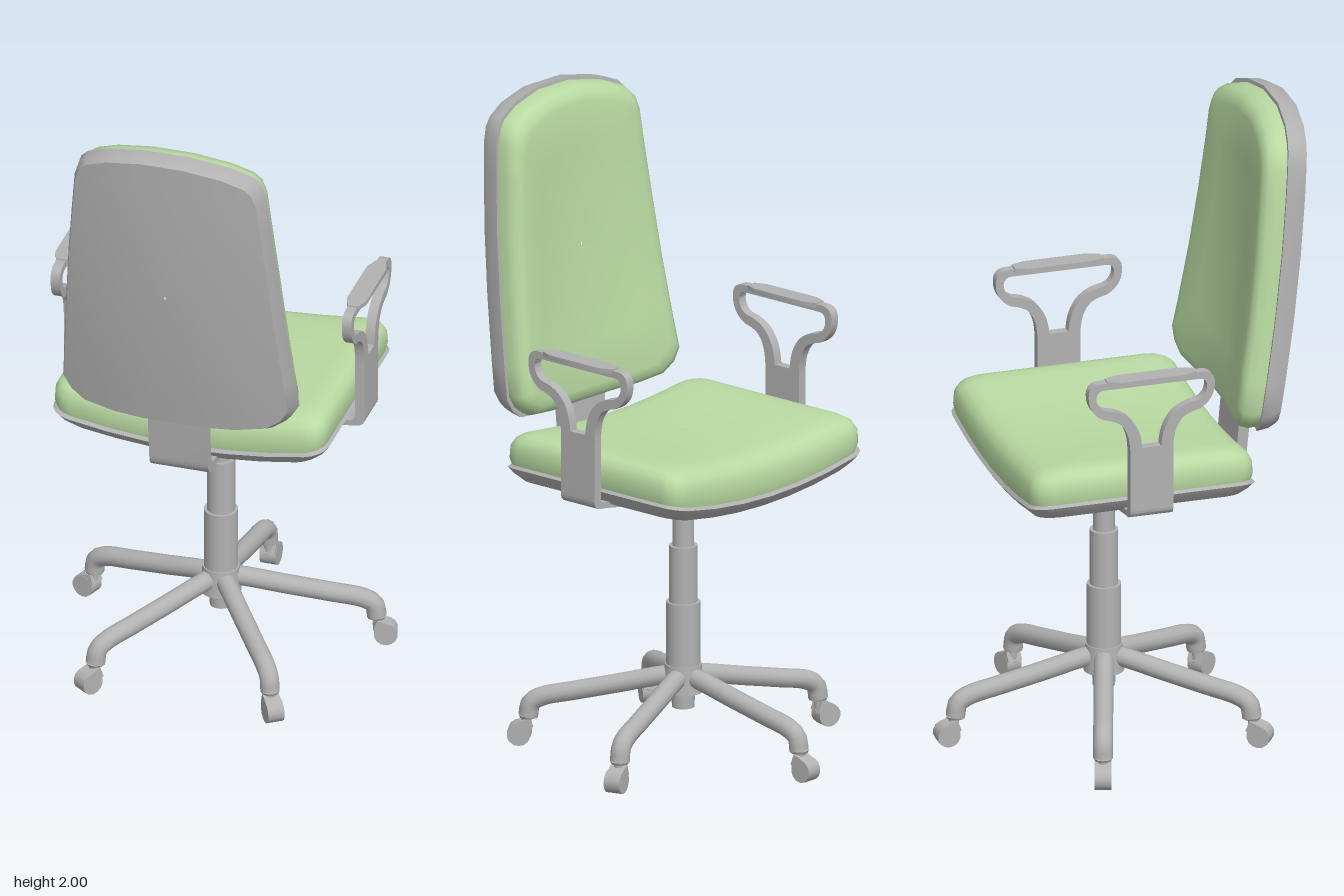
import * as THREE from 'three';
import { toCreasedNormals } from 'three/addons/utils/BufferGeometryUtils.js';

const grey = new THREE.MeshStandardMaterial({ color: 0xb2b2b2 });
grey.name = 'grey plastic';
const green = new THREE.MeshStandardMaterial({ color: 0xb9daa2 });
green.name = 'green fabric';

const CZ = -0.03; // z of the column axis

function add(parent, name, geo, mat, x = 0, y = 0, z = 0) {
  const m = new THREE.Mesh(geo, mat);
  m.name = name;
  m.position.set(x, y, z);
  parent.add(m);
  return m;
}

// Skin closed rings of [x, y, z]; rings run counter-clockwise about the direction of travel
function loft(rings, crease) {
  const n = rings[0].length, idx = [];
  for (let i = 0; i < rings.length - 1; i++) {
    for (let j = 0; j < n; j++) {
      const k = (j + 1) % n, a = i * n + j, b = i * n + k;
      idx.push(a, b, b + n, a, b + n, a + n);
    }
  }
  const geo = new THREE.BufferGeometry();
  geo.setAttribute('position', new THREE.Float32BufferAttribute(rings.flat(2), 3));
  geo.setIndex(idx);
  return toCreasedNormals(geo, crease);
}

// Rounded rectangle in plan, with subdivided edges
function roundedRect(w, d, r) {
  const corners = [];
  for (let c = 0; c < 4; c++) {
    const cx = (c === 0 || c === 3 ? 1 : -1) * (w - r), cy = (c < 2 ? 1 : -1) * (d - r);
    for (let i = 0; i <= 4; i++) {
      const a = (c + i / 4) * Math.PI / 2;
      corners.push([cx + r * Math.cos(a), cy + r * Math.sin(a)]);
    }
  }
  const pts = [];
  corners.forEach((p, i) => {
    pts.push(p);
    if (i % 5 === 4) {
      const q = corners[(i + 1) % corners.length];
      for (let t = 1; t < 6; t++) pts.push([p[0] + (q[0] - p[0]) * t / 6, p[1] + (q[1] - p[1]) * t / 6]);
    }
  });
  return pts;
}

// Seat layer: [inset, height, scale, upward bend at the sides]
function seatPart(layers, crease) {
  return loft(layers.map(([inset, y, s, bend]) =>
    roundedRect(0.435 - inset, 0.357 - inset, 0.06).map(([x, d]) =>
      [x * s, y + bend * (x * s / 0.435) ** 2, -0.033 - d * s])), crease);
}

// Backrest layer: [inset, depth from the rear, scale]
const half = [[0.1, 1.02], [0.2, 1.022], [0.3, 1.035], [0.345, 1.065], [0.37, 1.105], [0.362, 1.2], [0.345, 1.4],
  [0.328, 1.6], [0.31, 1.78], [0.3, 1.88], [0.285, 1.925], [0.26, 1.95], [0.19, 1.978], [0.07, 2.0]];
const outline = [...half, ...half.slice().reverse().map(([x, y]) => [-x, y])];
function backPart(layers, crease) {
  return loft(layers.map(([inset, depth, s]) => outline.map(([px, py]) => {
    const x = px * (1 - inset / 0.35) * s;
    const y = 1.51 + (py - 1.51) * (1 - inset / 0.49) * s;
    const t = (y - 1.03) / 0.97;
    return [x, y, 0.455 + 0.18 * t - 0.075 * t * t - depth - 0.42 * x * x];
  })), crease);
}

function extrude(shape, depth) {
  return toCreasedNormals(new THREE.ExtrudeGeometry(shape, { depth, bevelEnabled: false, curveSegments: 8 }), 0.6);
}

function makeArm() {
  const arm = new THREE.Group();
  // Side outline, drawn as (-z, y) about the column axis, with a looped grip
  const s = new THREE.Shape();
  s.moveTo(-0.068, 0.9);
  s.lineTo(0.068, 0.9);
  s.lineTo(0.068, 1.08);
  s.quadraticCurveTo(0.066, 1.16, 0.1, 1.19);
  s.quadraticCurveTo(0.12, 1.205, 0.15, 1.21);
  s.quadraticCurveTo(0.2, 1.235, 0.2, 1.29);
  s.quadraticCurveTo(0.2, 1.33, 0.16, 1.33);
  s.lineTo(-0.16, 1.33);
  s.quadraticCurveTo(-0.2, 1.33, -0.2, 1.29);
  s.quadraticCurveTo(-0.2, 1.235, -0.15, 1.21);
  s.quadraticCurveTo(-0.12, 1.205, -0.1, 1.19);
  s.quadraticCurveTo(-0.066, 1.16, -0.068, 1.08);
  const h = new THREE.Path();
  h.moveTo(-0.03, 1.105);
  h.quadraticCurveTo(-0.035, 1.18, -0.08, 1.215);
  h.quadraticCurveTo(-0.11, 1.235, -0.14, 1.238);
  h.quadraticCurveTo(-0.175, 1.25, -0.175, 1.285);
  h.quadraticCurveTo(-0.172, 1.308, -0.15, 1.308);
  h.lineTo(0.15, 1.308);
  h.quadraticCurveTo(0.172, 1.308, 0.175, 1.285);
  h.quadraticCurveTo(0.175, 1.25, 0.14, 1.238);
  h.quadraticCurveTo(0.11, 1.235, 0.08, 1.215);
  h.quadraticCurveTo(0.035, 1.18, 0.03, 1.105);
  s.holes.push(h);
  add(arm, 'armLoop', extrude(s, 0.03), grey, 0.446, 0, CZ).rotation.y = Math.PI / 2;

  // Curved foot passing under the seat
  const f = new THREE.Shape();
  f.moveTo(0.476, 0.9);
  f.lineTo(0.446, 0.9);
  f.quadraticCurveTo(0.444, 0.89, 0.43, 0.89);
  f.lineTo(0.3, 0.868);
  f.lineTo(0.3, 0.85);
  f.lineTo(0.435, 0.872);
  f.quadraticCurveTo(0.476, 0.872, 0.476, 0.9);
  add(arm, 'armFoot', extrude(f, 0.136), grey, 0, 0, CZ - 0.068);

  // Wider pad on top of the grip
  const p = new THREE.Shape();
  [[-0.016, -0.14], [0.016, -0.14], [0.031, -0.1], [0.031, 0.1], [0.016, 0.14], [-0.016, 0.14], [-0.031, 0.1], [-0.031, -0.1]]
    .forEach(([x, y], i) => (i ? p.lineTo(x, y) : p.moveTo(x, y)));
  add(arm, 'armPad', extrude(p, 0.014), grey, 0.461, 1.32, CZ).rotation.x = -Math.PI / 2;
  return arm;
}

function makeLeg() {
  // Leg runs outward along +x
  const leg = new THREE.Group();
  const path = new THREE.CatmullRomCurve3([[0, 0.238], [0.06, 0.232], [0.2, 0.202], [0.33, 0.175], [0.43, 0.153],
    [0.462, 0.132], [0.47, 0.092]].map(([x, y]) => new THREE.Vector3(x, y, 0)), false, 'centripetal');
  add(leg, 'legTube', new THREE.TubeGeometry(path, 28, 0.03, 12), grey);
  add(leg, 'legEndCap', new THREE.CylinderGeometry(0.03, 0.026, 0.008, 12), grey, 0.47, 0.09, 0);
  add(leg, 'casterStem', new THREE.CylinderGeometry(0.016, 0.016, 0.05, 10), grey, 0.475, 0.07, 0);
  add(leg, 'casterWheel', new THREE.CylinderGeometry(0.036, 0.036, 0.052, 14), grey, 0.497, 0.037, 0).rotation.x = Math.PI / 2;
  add(leg, 'casterHood', new THREE.BoxGeometry(0.045, 0.036, 0.05), grey, 0.485, 0.06, 0).rotation.z = -0.35;
  return leg;
}

export function createModel() {
  const chair = new THREE.Group();
  chair.name = 'officeChair';

  // Seat
  add(chair, 'seatShell', seatPart([[0.04, 0.852, 0.02, 0.05], [0.04, 0.85, 0.4, 0.05], [0.04, 0.844, 0.8, 0.05],
    [0.035, 0.835, 1, 0.05], [0.012, 0.855, 1, 0.05], [0, 0.872, 1, 0.05], [0.012, 0.885, 1, 0.05], [0.012, 0.885, 0.5, 0.05]], 0.6), grey);
  add(chair, 'seatCushion', seatPart([[0.01, 0.88, 0.5, 0.045], [0.01, 0.876, 1, 0.05], [0.004, 0.9, 1, 0.05],
    [0.006, 0.945, 1, 0.045], [0.016, 0.972, 1, 0.04], [0.034, 0.99, 1, 0.038], [0.06, 1.001, 1, 0.036],
    [0.1, 1.006, 1, 0.035], [0.1, 1.007, 0.6, 0.035], [0.1, 1.008, 0.3, 0.035], [0.1, 1.008, 0.01, 0.035]], 1), green);

  // Backrest
  add(chair, 'backCushion', backPart([[0.06, 0.143, 0.01], [0.06, 0.143, 0.35], [0.06, 0.143, 0.7], [0.06, 0.143, 1],
    [0.035, 0.135, 1], [0.018, 0.118, 1], [0.01, 0.09, 1], [0.012, 0.05, 1], [0.012, 0.05, 0.5]], 1), green);
  add(chair, 'backShell', backPart([[0.03, 0.06, 0.5], [0.014, 0.062, 1], [0, 0.06, 1], [0.004, 0.025, 1], [0.015, 0, 1],
    [0.015, 0, 0.85], [0.015, 0, 0.6], [0.015, 0, 0.3], [0.015, 0, 0.01]], 0.7), grey);

  // Bent bar joining seat and backrest, drawn as (-z, y)
  const b = new THREE.Shape();
  b.moveTo(-0.18, 0.826);
  b.lineTo(-0.18, 0.852);
  b.lineTo(-0.33, 0.852);
  b.quadraticCurveTo(-0.358, 0.854, -0.36, 0.885);
  b.lineTo(-0.376, 1.07);
  b.lineTo(-0.412, 1.07);
  b.lineTo(-0.392, 0.875);
  b.quadraticCurveTo(-0.388, 0.828, -0.35, 0.826);
  add(chair, 'backBracket', extrude(b, 0.186), grey, -0.093, 0, 0).rotation.y = Math.PI / 2;

  // Armrests
  for (const side of [1, -1]) {
    const arm = makeArm();
    arm.name = side > 0 ? 'leftArmrest' : 'rightArmrest';
    if (side < 0) {
      arm.rotation.y = Math.PI;
      arm.position.z = 2 * CZ;
    }
    chair.add(arm);
  }

  // Gas column and hub: [name, top radius, bottom radius, bottom, top]
  [['columnRod', 0.033, 0.033, 0.62, 0.865], ['columnMiddle', 0.043, 0.043, 0.45, 0.645], ['columnSleeve', 0.052, 0.052, 0.25, 0.468],
    ['hub', 0.056, 0.062, 0.185, 0.272], ['hubPlug', 0.037, 0.034, 0.135, 0.2]].forEach(([name, rt, rb, y0, y1]) =>
    add(chair, name, new THREE.CylinderGeometry(rt, rb, y1 - y0, 24), grey, 0, (y0 + y1) / 2, CZ));

  // Five legs, the first pointing to -z
  for (let i = 0; i < 5; i++) {
    const leg = makeLeg();
    leg.name = 'leg' + (i + 1);
    leg.position.z = CZ;
    leg.rotation.y = Math.PI / 2 + i * Math.PI * 2 / 5;
    chair.add(leg);
  }
  return chair;
}
